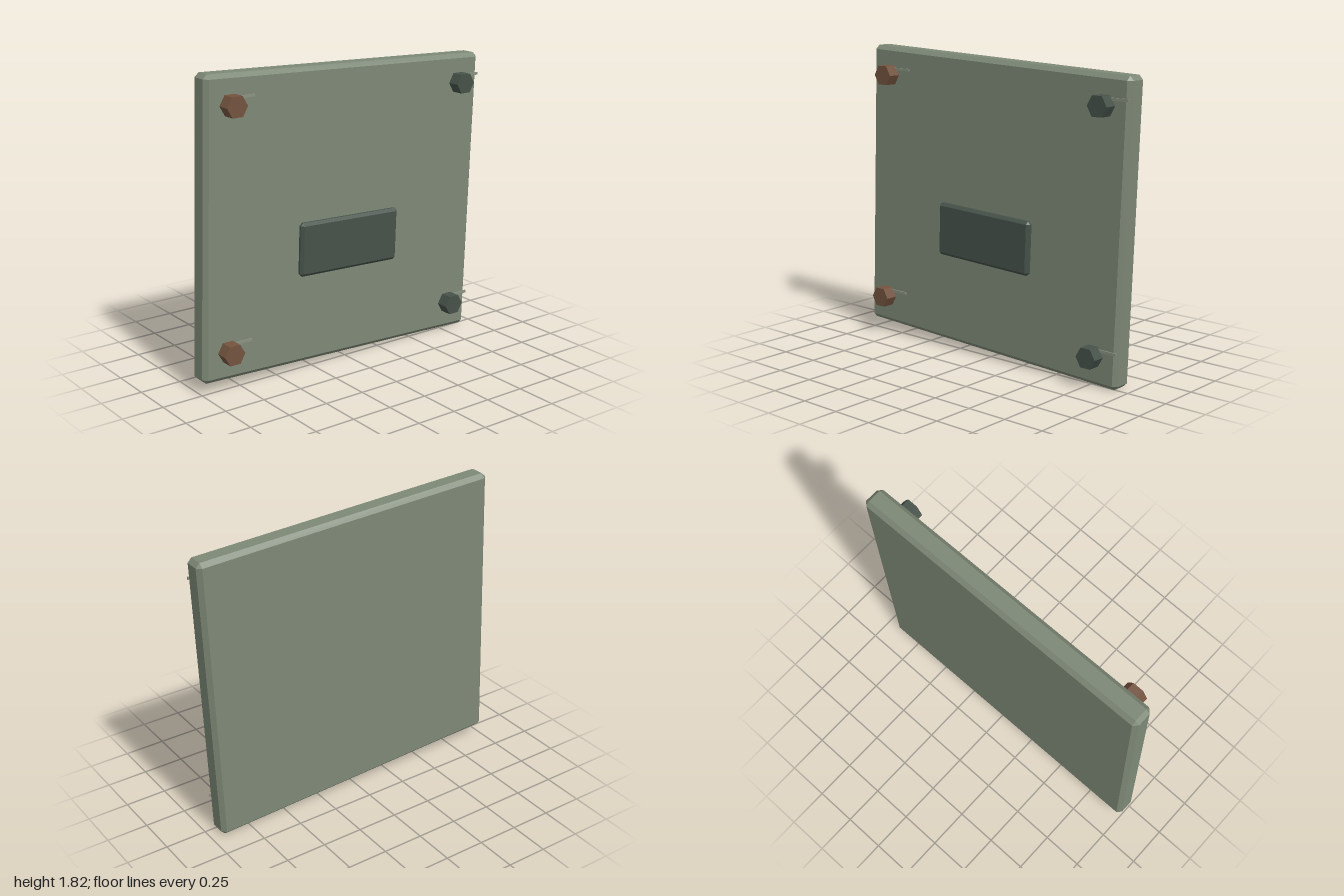
import * as THREE from 'three';
import { ConvexGeometry } from 'three/addons/geometries/ConvexGeometry.js';

const TILT = -0.0367;

function material(name, color) {
  const m = new THREE.MeshStandardMaterial({ color });
  m.name = name;
  return m;
}

// Box with every edge and corner cut off at 45 degrees
function chamferedBox(w, h, d, c) {
  const points = [];
  for (const x of [-1, 1]) for (const y of [-1, 1]) for (const z of [-1, 1]) {
    for (let axis = 0; axis < 3; axis++) {
      const cut = [c, c, c];
      cut[axis] = 0;
      points.push(new THREE.Vector3(
        x * (w / 2 - cut[0]), y * (h / 2 - cut[1]), z * (d / 2 - cut[2])));
    }
  }
  return new ConvexGeometry(points);
}

export function createModel() {
  const group = new THREE.Group();
  group.name = 'wallPanel';
  const green = material('sageGreen', 0x7d8876);
  const dark = material('darkGreen', 0x46524a);
  const rust = material('rustBrown', 0x74533f);
  const pale = material('paleGreen', 0x8a9282);

  const add = (name, geometry, mat, x, y, z, tilt = 0) => {
    const mesh = new THREE.Mesh(geometry, mat);
    mesh.name = name;
    mesh.position.set(x, y, z);
    mesh.rotation.z = tilt;
    group.add(mesh);
  };

  // Slightly crooked slab and its raised plate
  add('panel', chamferedBox(1.938, 1.751, 0.134, 0.025), green, 0, 0.91, -0.038, TILT);
  add('centrePlate', chamferedBox(0.70, 0.32, 0.047, 0.017), dark, -0.01, 0.737, 0.052, TILT);

  // Hexagonal bolts, each with a thin scratch beside it
  const hex = new THREE.CylinderGeometry(0.066, 0.066, 0.078, 6).toNonIndexed();
  hex.rotateY(Math.PI / 6 + Math.PI / 3);
  hex.rotateX(Math.PI / 2);
  hex.computeVertexNormals();
  const scratch = new THREE.BoxGeometry(0.155, 0.016, 0.008);
  const bolts = [
    ['upperRight', -0.787, 1.645, rust], ['lowerRight', -0.84, 0.24, rust],
    ['upperLeft', 0.834, 1.586, dark], ['lowerLeft', 0.782, 0.18, dark],
  ];
  for (const [corner, x, y, mat] of bolts) {
    add(corner + 'Bolt', hex, mat, x, y, 0.066);
    add(corner + 'Scratch', scratch, pale, x + 0.08, y + 0.036, 0.032);
  }
  return group;
}
